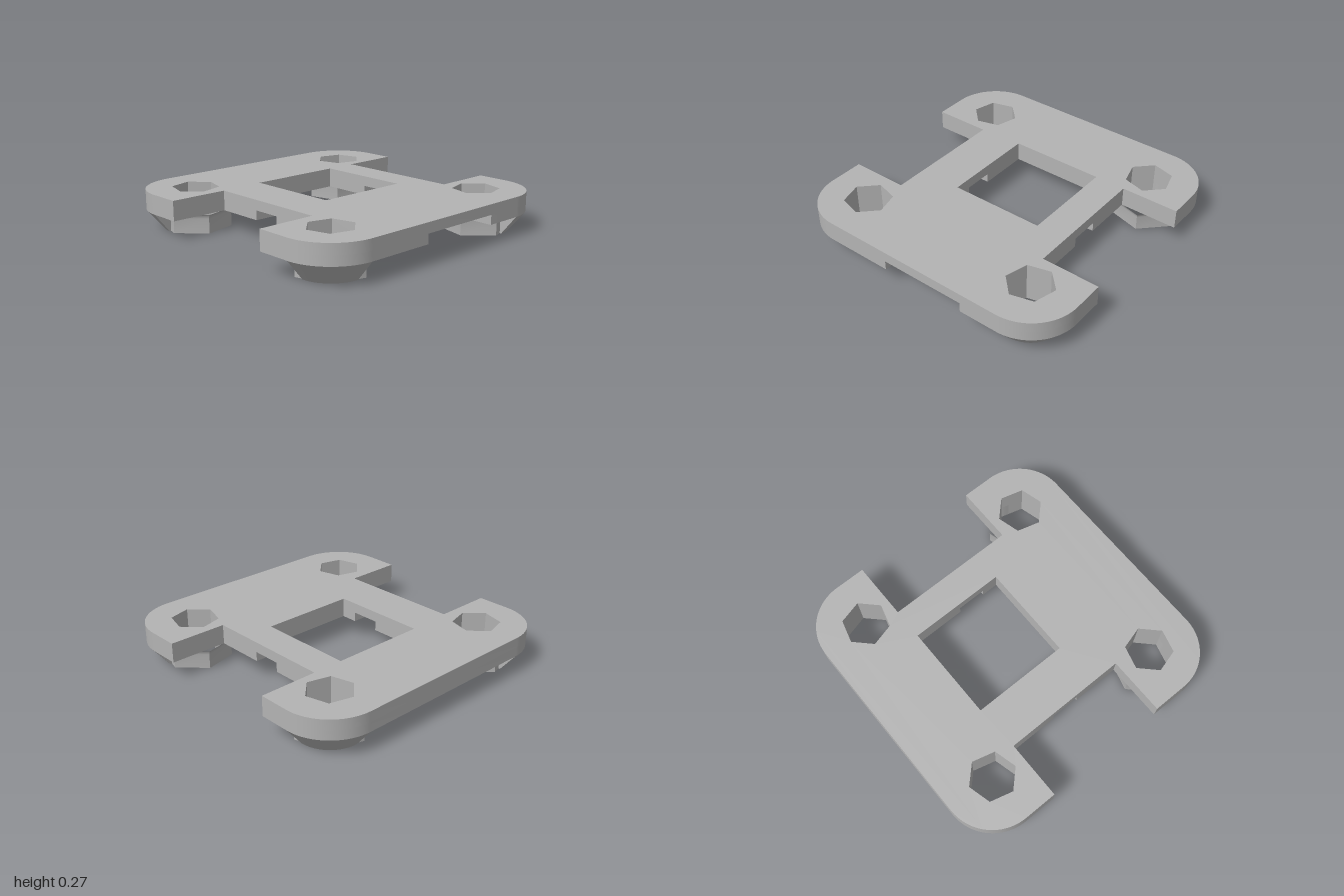
import * as THREE from 'three';
import { toCreasedNormals } from 'three/addons/utils/BufferGeometryUtils.js';

const CORNER = 0.667;          // centre of each corner boss
const RADIUS = 1 - CORNER;     // plate corner radius
const TOP = 0.27, STEP = 0.2, UNDER = 0.135;

// distance to a hexagon's edge at angle a (degrees), one vertex on the diagonal
function hexRadius(a, r) {
  const local = ((((a - 45) % 60) + 60) % 60) - 30;
  return r * Math.cos(Math.PI / 6) / Math.cos(THREE.MathUtils.degToRad(local));
}

// hexagonal bolt opening at corner (sx, sz)
function hexHole(sx, sz) {
  const pts = [];
  for (let k = 0; k < 6; k++) {
    const a = Math.PI / 4 + k * Math.PI / 3;
    pts.push(new THREE.Vector2(sx * (CORNER + 0.16 * Math.cos(a)), sz * (CORNER + 0.16 * Math.sin(a))));
  }
  return new THREE.Path(pts);
}

function polygon(points) {
  return new THREE.Path(points.map(([x, z]) => new THREE.Vector2(x, z)));
}

// flat slab from a shape drawn in x and z
function slab(shape, top, bottom) {
  const g = new THREE.ExtrudeGeometry(shape, { depth: top - bottom, bevelEnabled: false, curveSegments: 20 });
  g.rotateX(Math.PI / 2).translate(0, top, 0);
  return toCreasedNormals(g, 0.5);
}

// rounded back end, from the left-hand inner arm corner round to the right-hand one
function backEnd(shape) {
  shape.lineTo(-1, -0.44);
  shape.lineTo(-1, -CORNER);
  shape.absarc(-CORNER, -CORNER, RADIUS, Math.PI, 1.5 * Math.PI);
  shape.lineTo(CORNER, -1);
  shape.absarc(CORNER, -CORNER, RADIUS, 1.5 * Math.PI, 2 * Math.PI);
  shape.lineTo(1, -0.455);
  shape.lineTo(0.597, -0.455);
}

// rounded front end, optionally broken by the cable notch
function frontEnd(shape, notch) {
  shape.lineTo(0.597, 0.45);
  shape.lineTo(1, 0.45);
  shape.lineTo(1, CORNER);
  shape.absarc(CORNER, CORNER, RADIUS, 0, Math.PI / 2);
  if (notch) for (const [x, z] of [[0.4, 1], [0.4, 0.56], [-0.2, 0.56], [-0.2, 1]]) shape.lineTo(x, z);
  shape.lineTo(-CORNER, 1);
  shape.absarc(-CORNER, CORNER, RADIUS, Math.PI / 2, Math.PI);
  shape.lineTo(-1, 0.43);
  shape.lineTo(-0.6, 0.43);
}

// corner boss: hexagonal sleeve with a quarter cone on the outer side
function bossGeometry() {
  const stations = [];
  for (let a = 0; a <= 90; a += 7.5) stations.push({ a, cone: true });
  for (const a of [90, 105, 165, 225, 285, 345, 360]) stations.push({ a, cone: false });
  // [height, hole?, root fillet]
  const rows = [[UNDER, true, 0], [0, true, 0], [0, false, 0], [0.1, false, 0],
    [0.118, false, 0.004], [0.13, false, 0.015], [UNDER, false, 0.03]];
  const pos = [], index = [], n = stations.length;
  for (const [y, hole, fillet] of rows) {
    for (const { a, cone } of stations) {
      const r = hole ? hexRadius(a, 0.16)
        : cone ? THREE.MathUtils.lerp(0.222, RADIUS, y / UNDER)
          : hexRadius(a, 0.235) + fillet;
      const t = THREE.MathUtils.degToRad(a);
      pos.push(r * Math.cos(t), y, r * Math.sin(t));
    }
  }
  for (let i = 0; i < rows.length - 1; i++) {
    for (let j = 0; j < n; j++) {
      const k = (j + 1) % n;
      const p = i * n + j, q = p + n, s = i * n + k, t = s + n;
      index.push(p, q, s, q, t, s);
    }
  }
  const g = new THREE.BufferGeometry();
  g.setAttribute('position', new THREE.Float32BufferAttribute(pos, 3));
  g.setIndex(index);
  return toCreasedNormals(g, 0.6);
}

export function createModel() {
  const model = new THREE.Group();
  model.name = 'mountingPlate';
  const grey = new THREE.MeshStandardMaterial({ color: 0xb3b3b3 });
  grey.name = 'grey';
  const add = (name, geometry) => {
    const mesh = new THREE.Mesh(geometry, grey);
    mesh.name = name;
    model.add(mesh);
    return mesh;
  };

  // upper layer: full outline with window and bolt openings
  const upper = new THREE.Shape();
  upper.moveTo(-0.6, -0.44);
  backEnd(upper);
  frontEnd(upper, false);
  upper.closePath();
  upper.holes.push(polygon([[-0.285, -0.455], [0.38, -0.455], [0.38, 0.215], [-0.285, 0.215]]));
  for (const sx of [-1, 1]) for (const sz of [-1, 1]) upper.holes.push(hexHole(sx, sz));
  add('upperPlate', slab(upper, TOP, STEP));

  // lower layer, split by the crosswise channel
  const back = new THREE.Shape();
  back.moveTo(-0.6, -0.44);
  backEnd(back);
  for (const [x, z] of [[0.597, -0.1], [0.38, -0.1], [0.38, -0.455], [-0.285, -0.455], [-0.285, -0.1], [-0.6, -0.1]]) back.lineTo(x, z);
  back.closePath();
  back.holes.push(hexHole(-1, -1), hexHole(1, -1));
  add('lowerPlateBack', slab(back, STEP, UNDER));

  const front = new THREE.Shape();
  front.moveTo(0.597, 0.1);
  frontEnd(front, true);
  for (const [x, z] of [[-0.6, 0.1], [-0.285, 0.1], [-0.285, 0.215], [0.38, 0.215], [0.38, 0.1]]) front.lineTo(x, z);
  front.closePath();
  front.holes.push(hexHole(-1, 1), hexHole(1, 1));
  add('lowerPlateFront', slab(front, STEP, UNDER));

  // four bosses, each a quarter turn from the last
  const boss = bossGeometry().translate(CORNER, 0, CORNER);
  for (let k = 0; k < 4; k++) add('cornerBoss', boss).rotation.y = k * Math.PI / 2;

  return model;
}
